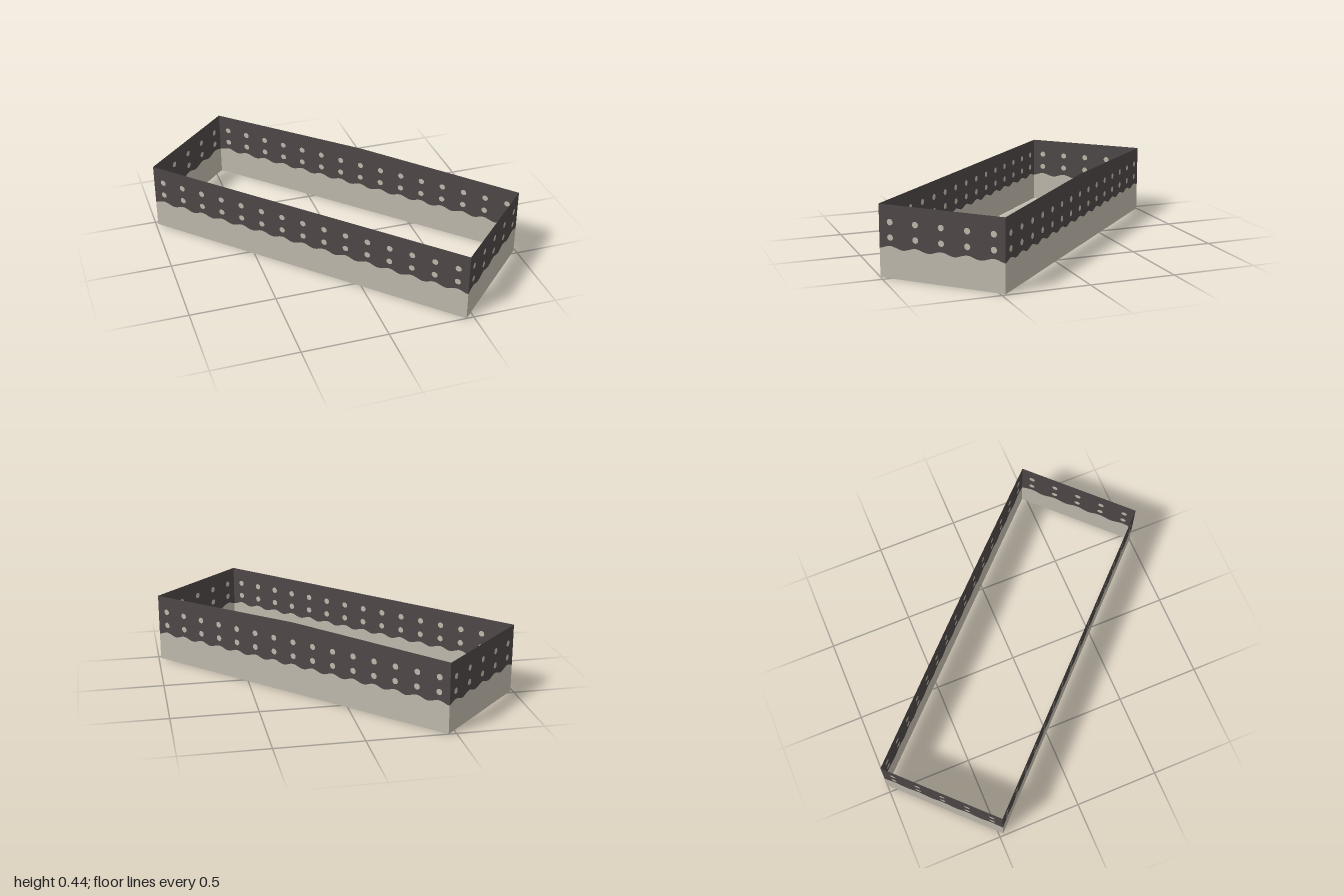
import * as THREE from 'three';

const HEIGHT = 0.41, DOT_R = 0.018, MARGIN = 0.066, ROWS = [0.229, 0.314];

// Height of the scalloped line between the pale base and the dark band
const scallop = (s, step) => 0.173 + 0.009 * Math.cos((2 * Math.PI * (s - MARGIN)) / step);

export function createModel() {
  const pale = new THREE.MeshStandardMaterial({ color: 0xbfb9ac, side: THREE.DoubleSide });
  pale.name = 'pale stone';
  const dark = new THREE.MeshStandardMaterial({ color: 0x4e4747, side: THREE.DoubleSide });
  dark.name = 'dark brown';

  // One upright sheet from p to q (x, z), seen left to right from outside
  function wall(name, p, q, columns, rise) {
    const group = new THREE.Group();
    group.name = name;
    group.position.set(p[0], 0, p[1]);
    group.rotation.y = Math.atan2(p[1] - q[1], q[0] - p[0]);
    const length = Math.hypot(q[0] - p[0], q[1] - p[1]);
    const step = (length - 2 * MARGIN) / (columns - 1);

    const wave = [];
    const n = columns * 8;
    for (let i = 0; i <= n; i++) {
      const s = (length * i) / n;
      wave.push(new THREE.Vector2(s, scallop(s, step)));
    }

    const add = (part, geometry, material) => {
      const mesh = new THREE.Mesh(geometry, material);
      mesh.name = part;
      group.add(mesh);
      return mesh;
    };

    // Pale base below the scalloped line
    const base = new THREE.Shape([new THREE.Vector2(length, 0), ...[...wave].reverse(), new THREE.Vector2(0, 0)]);
    add('paleBase', new THREE.ShapeGeometry(base), pale);

    // Dark band, with round openings filled by the pale dots
    const band = new THREE.Shape([
      ...wave,
      new THREE.Vector2(length, HEIGHT),
      new THREE.Vector2(length / 2, HEIGHT + rise),
      new THREE.Vector2(0, HEIGHT),
    ]);
    const dot = new THREE.CircleGeometry(DOT_R, 12);
    for (let c = 0; c < columns; c++) {
      for (const y of ROWS) {
        const x = MARGIN + c * step;
        const hole = new THREE.Path();
        for (let k = 0; k < 12; k++) {
          const a = (-k * Math.PI) / 6;
          const hx = x + DOT_R * Math.cos(a), hy = y + DOT_R * Math.sin(a);
          if (k) hole.lineTo(hx, hy);
          else hole.moveTo(hx, hy);
        }
        hole.closePath();
        band.holes.push(hole);
        add('dot', dot, pale).position.set(x, y, 0);
      }
    }
    add('darkBand', new THREE.ShapeGeometry(band), dark);
    return group;
  }

  // Open rectangular ring standing diagonally; one long side has a low peak
  const front = [0.456, 1], right = [0.987, 0.475], back = [-0.456, -1], left = [-0.987, -0.475];
  const model = new THREE.Group();
  model.name = 'wallRing';
  model.add(
    wall('frontLongWall', left, front, 15, 0),
    wall('frontEndWall', front, right, 5, 0),
    wall('backLongWall', right, back, 15, 0.025),
    wall('backEndWall', back, left, 5, 0),
  );
  return model;
}
